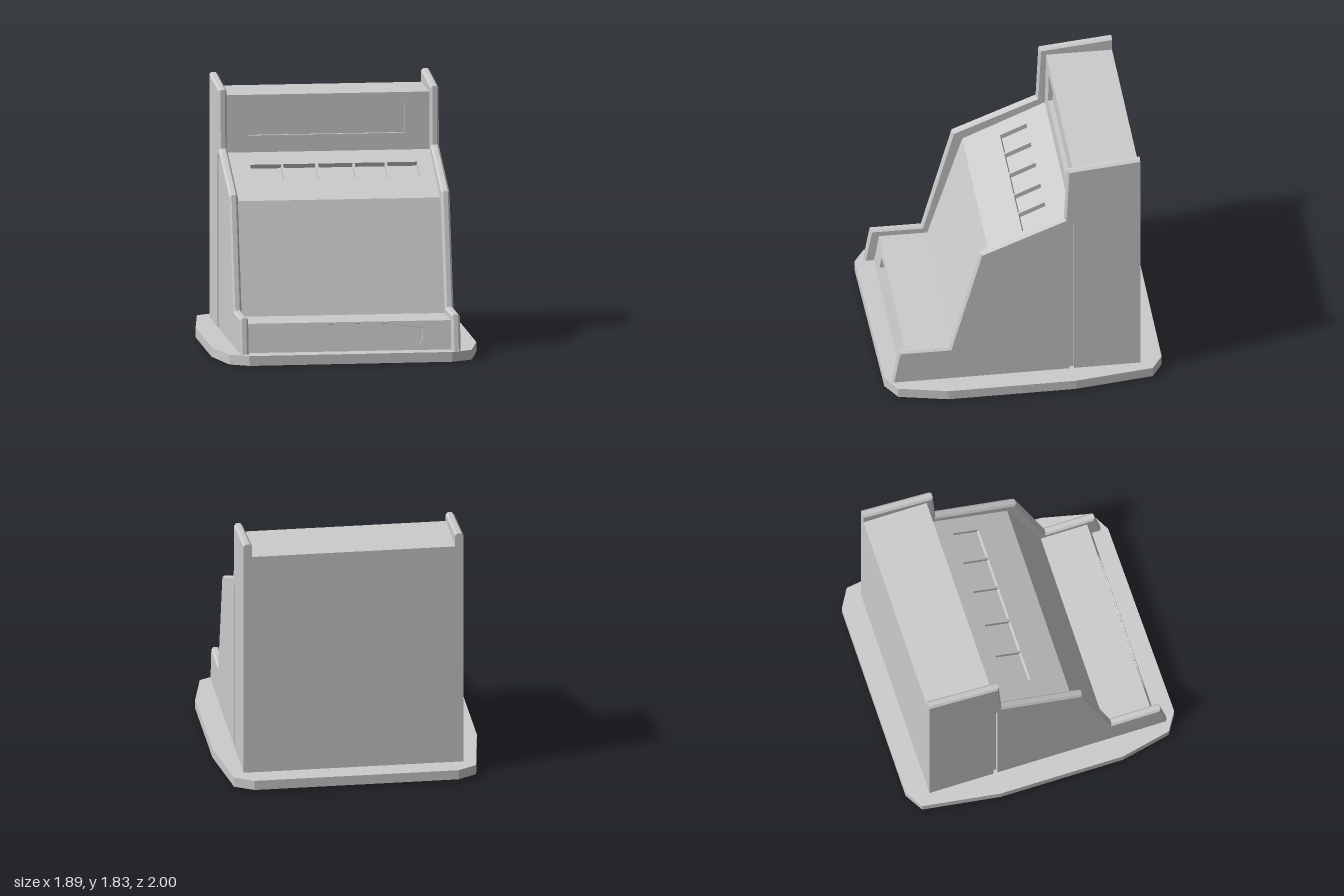
import * as THREE from 'three';

const material = new THREE.MeshStandardMaterial({ color: 0xcccccc, flatShading: true, side: THREE.DoubleSide });
const vec2 = (list) => list.map(([x, y]) => new THREE.Vector2(x, y));

function add(parent, name, geometry) {
  const mesh = new THREE.Mesh(geometry, material);
  mesh.name = name;
  parent.add(mesh);
  return mesh;
}

// Octagonal foot plate, very slightly thicker and higher towards the back
function basePlate() {
  const outline = [
    [-0.73, -1], [0.73, -1], [0.865, -0.92], [0.945, -0.36], [0.945, 0.55],
    [0.865, 0.9], [0.72, 0.98], [-0.73, 1], [-0.865, 0.915], [-0.945, 0.55],
    [-0.945, -0.36], [-0.865, -0.92],
  ];
  const geometry = new THREE.ExtrudeGeometry(new THREE.Shape(vec2(outline)), { depth: 0.07, bevelEnabled: false });
  geometry.rotateX(Math.PI / 2).translate(0, 0.076, 0);
  const p = geometry.attributes.position;
  for (let i = 0; i < p.count; i++) p.setY(i, p.getY(i) - 0.006 * p.getZ(i));
  geometry.computeVertexNormals();
  return geometry;
}

// Stepped cheek panel with chamfered rim and a thin upright groove
function sidePanel() {
  const profile = [
    [-0.86, 0.05], [0.935, 0.05], [0.885, 0.325], [0.52, 0.325], [0.3, 1.12],
    [-0.3, 1.365], [-0.32, 1.78], [-0.86, 1.832],
  ];
  const shape = new THREE.Shape(vec2(profile));
  shape.holes.push(new THREE.Path(vec2([[-0.365, 0.09], [-0.365, 1.32], [-0.335, 1.32], [-0.335, 0.09]])));
  const bevel = 0.014;
  const geometry = new THREE.ExtrudeGeometry(shape, {
    depth: 0.032, bevelEnabled: true, bevelThickness: bevel, bevelSize: bevel, bevelOffset: -bevel, bevelSegments: 1,
  });
  geometry.translate(0, 0, -0.016).rotateY(-Math.PI / 2);
  const p = geometry.attributes.position;
  for (let i = 0; i < p.count; i++) {
    const y = p.getY(i), z = p.getZ(i);
    // Keep the back flush
    p.setZ(i, Math.max(z, -0.84));
    // Keep the groove edges square
    if (Math.abs(z + 0.35) < 0.035 && y > 0.07 && y < 1.34) {
      p.setZ(i, z > -0.35 ? -0.335 : -0.365);
      p.setY(i, y > 0.7 ? 1.32 : 0.076);
    }
  }
  geometry.computeVertexNormals();
  return geometry;
}

// Side walls of a recess, following its outline
function recessWalls(outline, depth) {
  const positions = [];
  outline.forEach(([x0, y0], i) => {
    const [x1, y1] = outline[(i + 1) % outline.length];
    positions.push(x0, y0, 0, x0, y0, -depth, x1, y1, -depth, x0, y0, 0, x1, y1, -depth, x1, y1, 0);
  });
  const geometry = new THREE.BufferGeometry();
  geometry.setAttribute('position', new THREE.Float32BufferAttribute(positions, 3));
  geometry.computeVertexNormals();
  return geometry;
}

// Flat face between two [z, y] points, with recesses given as [x, height] outlines
function face(name, from, to, recesses = [], depth = 0.033) {
  const group = new THREE.Group();
  group.name = name;
  const up = new THREE.Vector3(0, to[1] - from[1], to[0] - from[0]);
  const length = up.length();
  up.normalize();
  const right = new THREE.Vector3(1, 0, 0);
  const normal = new THREE.Vector3().crossVectors(right, up);
  group.quaternion.setFromRotationMatrix(new THREE.Matrix4().makeBasis(right, up, normal));
  group.position.set(0, from[1], from[0]);

  const w = 0.735;
  const shape = new THREE.Shape(vec2([[-w, 0], [w, 0], [w, length], [-w, length]]));
  recesses.forEach((recess) => {
    const outline = recess.map(([x, y]) => [x, (y - from[1]) / up.y]);
    shape.holes.push(new THREE.Path(vec2(outline)));
    add(group, 'recessWalls', recessWalls(outline, depth));
    add(group, 'recessFloor', new THREE.ShapeGeometry(new THREE.Shape(vec2(outline))).translate(0, 0, -depth));
  });
  add(group, name + 'Surface', new THREE.ShapeGeometry(shape));
  return group;
}

const rect = (x0, x1, y0, y1) => [[x0, y0], [x1, y0], [x1, y1], [x0, y1]];

export function createModel() {
  const model = new THREE.Group();
  model.name = 'cabinet';
  add(model, 'basePlate', basePlate());

  // Cheek panels and the floors of their grooves
  for (const side of [-1, 1]) {
    add(model, side > 0 ? 'leftPanel' : 'rightPanel', sidePanel()).position.x = side * 0.756;
    const floor = add(model, 'grooveFloor', new THREE.PlaneGeometry(0.03, 1.244));
    floor.rotation.y = side * Math.PI / 2;
    floor.position.set(side * 0.76, 0.698, -0.35);
  }

  // Body faces from the front bottom, over the top and down the back
  const tray = [
    [-0.53, 0.225], [-0.28, 0.262], [0.28, 0.262], [0.525, 0.225],
    [0.525, 0.14], [0.49, 0.1], [-0.28, 0.105], [-0.53, 0.145],
  ];
  const buttons = [[-0.575, -0.355], [-0.34, -0.11], [-0.09, 0.155], [0.17, 0.385], [0.4, 0.615]]
    .map(([x0, x1]) => rect(x0, x1, 1.175, 1.258));
  const display = rect(-0.575, 0.55, 1.445, 1.66);
  const profile = [
    [0.86, 0.07], [0.825, 0.275], [0.48, 0.275], [0.23, 1.065],
    [-0.36, 1.325], [-0.37, 1.735], [-0.84, 1.735], [-0.84, 0.08],
  ];
  const faces = [
    ['trayFront', [tray]], ['trayTop'], ['lowerFront'], ['buttonDeck', buttons],
    ['displayFront', [display]], ['top'], ['back'],
  ];
  faces.forEach(([name, recesses], i) => model.add(face(name, profile[i], profile[i + 1], recesses)));
  return model;
}
